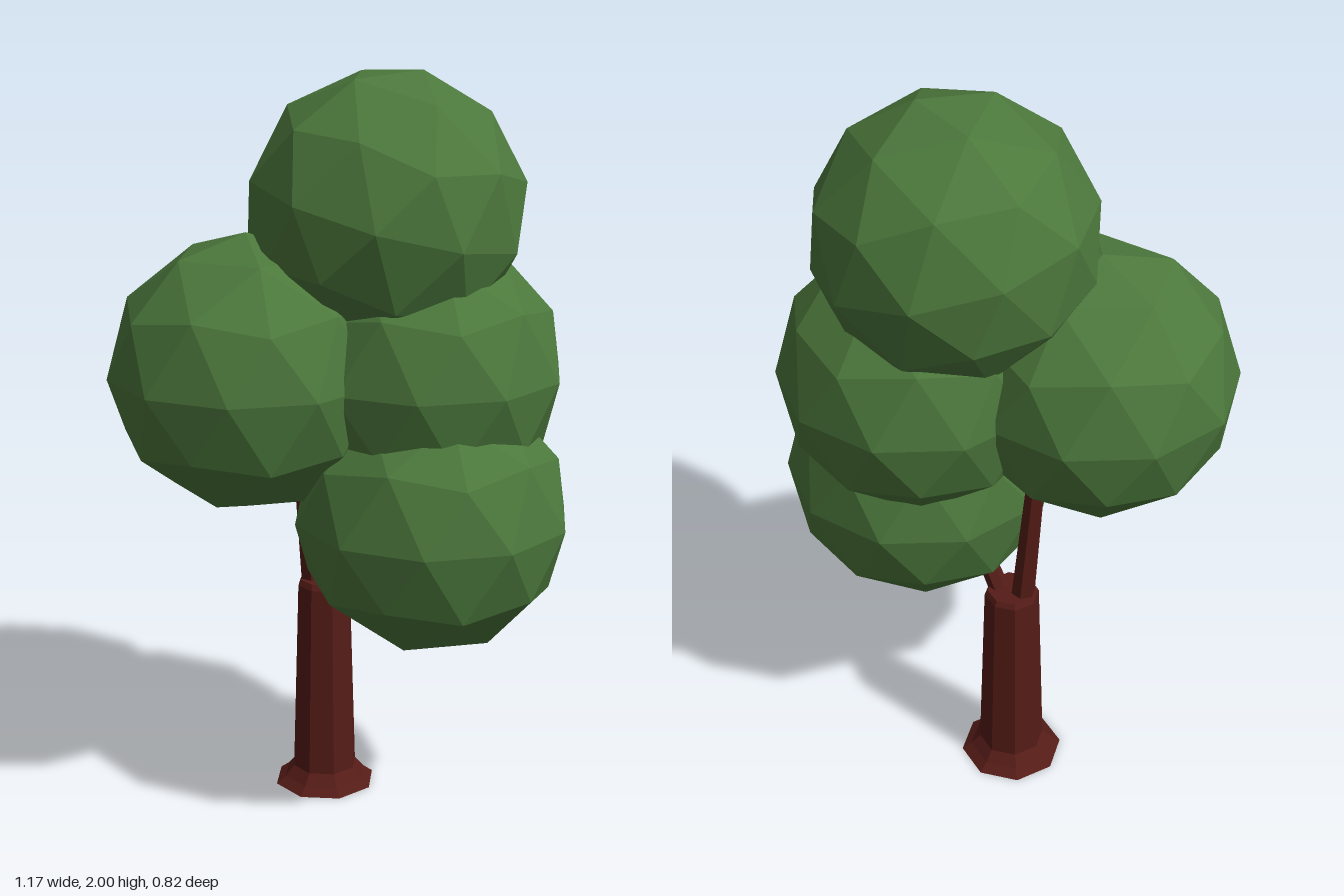
import * as THREE from 'three';

const bark = new THREE.MeshStandardMaterial({ color: 0x551c17, flatShading: true });
const leaf = new THREE.MeshStandardMaterial({ color: 0x4c783c, flatShading: true });

export function createModel() {
  const tree = new THREE.Group();
  tree.name = 'tree';
  const add = (name, geometry, material) => {
    const mesh = new THREE.Mesh(geometry, material);
    mesh.name = name;
    tree.add(mesh);
    return mesh;
  };

  // Eight-sided trunk with a flared foot and a slightly bevelled top
  const profile = [[0, 0], [0.141, 0], [0.115, 0.02], [0.09, 0.05], [0.074, 0.59], [0.066, 0.605], [0, 0.605]]
    .map(([r, y]) => new THREE.Vector2(r, y));
  add('trunk', new THREE.LatheGeometry(profile, 8, Math.PI / 8), bark).position.set(-0.06, 0, -0.127);

  // Tapered branches running from the trunk top into the foliage
  const branch = (name, from, to, r0, r1) => {
    const a = new THREE.Vector3(...from), b = new THREE.Vector3(...to);
    const dir = b.clone().sub(a);
    const mesh = add(name, new THREE.CylinderGeometry(r1, r0, dir.length(), 6), bark);
    mesh.position.copy(a).add(b).multiplyScalar(0.5);
    mesh.quaternion.setFromUnitVectors(new THREE.Vector3(0, 1, 0), dir.normalize());
  };
  branch('rightBranch', [-0.09, 0.57, -0.13], [-0.122, 0.98, -0.125], 0.033, 0.025);
  branch('leftBranch', [-0.035, 0.57, -0.127], [0.06, 0.77, -0.09], 0.028, 0.022);

  // Faceted foliage balls, turned so that a corner points straight up
  const ball = new THREE.IcosahedronGeometry(0.365, 1).rotateZ(-Math.atan(2) / 2);
  const crowns = [
    ['topFoliage', 0.11, 1.643, -0.045, -14.5],
    ['middleFoliage', 0.215, 1.225, -0.045, 0],
    ['rightFoliage', -0.24, 1.23, 0.042, 0],
    ['lowerFoliage', 0.24, 0.855, 0.042, 0],
  ];
  for (const [name, x, y, z, tilt] of crowns) {
    const mesh = add(name, ball, leaf);
    mesh.position.set(x, y, z);
    mesh.rotation.z = THREE.MathUtils.degToRad(tilt);
  }
  return tree;
}
